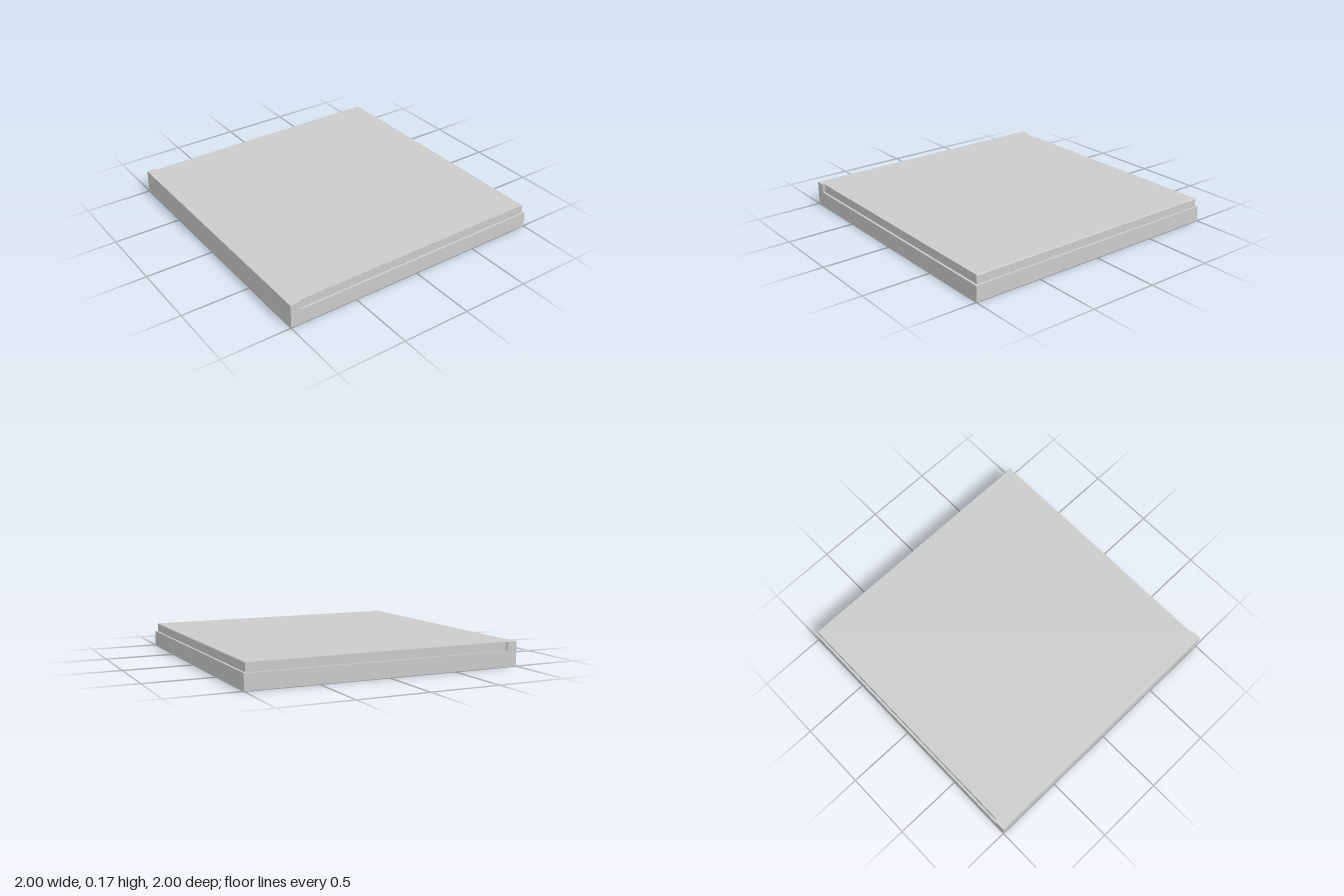
import * as THREE from 'three';

const BASE_TOP = 0.112, TOP = 0.174, INSET = 0.984, SPINE = -0.933;

const polygon = (points) => new THREE.Shape(points.map(([x, y]) => new THREE.Vector2(x, y)));

// Full-width lower slab; its underside rises very slightly towards the spine edge
function baseGeometry() {
  const profile = polygon([[-1, 0.004], [SPINE, 0], [1, 0], [1, BASE_TOP], [-1, BASE_TOP]]);
  return new THREE.ExtrudeGeometry(profile, { depth: 2, bevelEnabled: false }).translate(0, 0, -1);
}

// Upper slab, full width at the spine and inset on the other three sides
function lidGeometry() {
  const plan = polygon([
    [-1, -1], [SPINE, -1], [SPINE + 0.016, -INSET], [INSET, -INSET],
    [INSET, INSET], [SPINE + 0.016, INSET], [SPINE, 1], [-1, 1],
  ]);
  const height = TOP - BASE_TOP;
  const geometry = new THREE.ExtrudeGeometry(plan, { depth: height, steps: 2, bevelEnabled: false });
  geometry.rotateX(-Math.PI / 2).translate(0, BASE_TOP, 0);

  // Small chamfer along the free top edge
  const p = geometry.attributes.position;
  for (let i = 0; i < p.count; i++) {
    const level = Math.round((p.getY(i) - BASE_TOP) / height * 2);
    if (level === 1) p.setY(i, TOP - 0.006);
    if (level === 2 && p.getX(i) > 0.9) p.setX(i, INSET - 0.004);
  }
  geometry.computeVertexNormals();
  return geometry;
}

export function createModel() {
  const group = new THREE.Group();
  group.name = 'flatCase';
  const material = new THREE.MeshStandardMaterial({ color: 0xcccccc });
  for (const [name, geometry] of [['base', baseGeometry()], ['lid', lidGeometry()]]) {
    const mesh = new THREE.Mesh(geometry, material);
    mesh.name = name;
    group.add(mesh);
  }
  return group;
}
